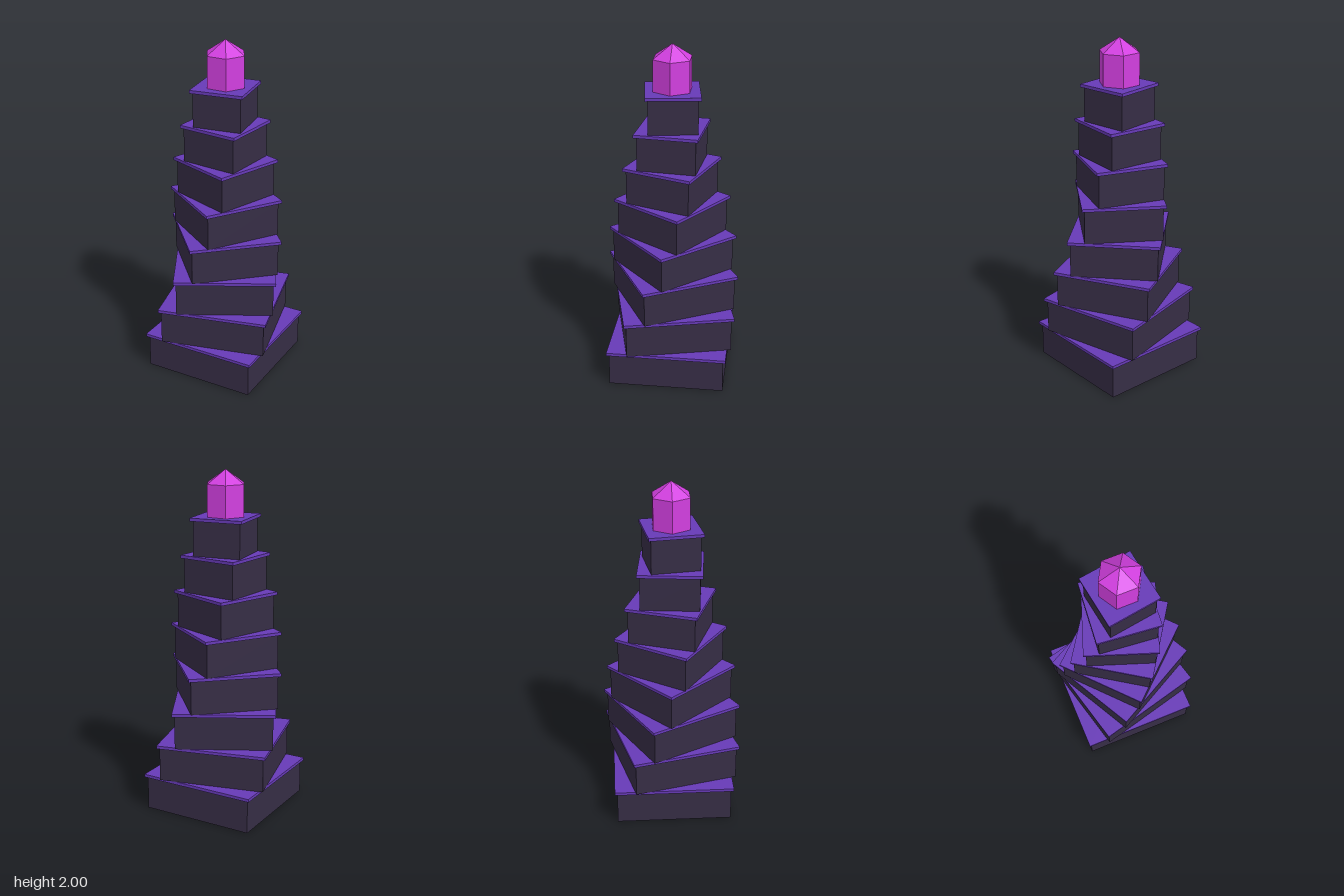
import * as THREE from 'three';

export function createModel() {
  const model = new THREE.Group();
  model.name = 'twistedTower';

  const stone = new THREE.MeshStandardMaterial({ color: 0x362d45 });
  stone.name = 'darkStone';
  const trim = new THREE.MeshStandardMaterial({ color: 0x673ab7 });
  trim.name = 'purpleTrim';
  const gem = new THREE.MeshStandardMaterial({ color: 0xd23fe0, flatShading: true });
  gem.name = 'magentaCrystal';

  const add = (parent, name, geometry, material, y) => {
    const mesh = new THREE.Mesh(geometry, material);
    mesh.name = name;
    mesh.position.y = y;
    parent.add(mesh);
  };

  // Eight shrinking tiers, each turned a little further than the one below
  const tiers = 8, pitch = 0.2172, slab = 0.018, twist = 0.245;
  for (let i = 0; i < tiers; i++) {
    const width = 0.704 - i * 0.0563;
    const tier = new THREE.Group();
    tier.name = `tier${i + 1}`;
    tier.position.y = i * pitch;
    tier.rotation.y = i * twist;
    const h = pitch - slab;
    add(tier, 'block', new THREE.BoxGeometry(width - 0.029, h, width - 0.029), stone, h / 2);
    add(tier, 'ledge', new THREE.BoxGeometry(width, slab, width), trim, h + slab / 2);
    model.add(tier);
  }

  // Hexagonal crystal with a pointed tip
  const base = tiers * pitch, shoulder = 1.92, radius = 0.118;
  add(model, 'crystalBody',
    new THREE.CylinderGeometry(radius, radius, shoulder - base, 6, 1, false, Math.PI / 2),
    gem, (base + shoulder) / 2);
  add(model, 'crystalTip',
    new THREE.ConeGeometry(radius, 2 - shoulder, 6, 1, true, Math.PI / 2),
    gem, (shoulder + 2) / 2);

  return model;
}
